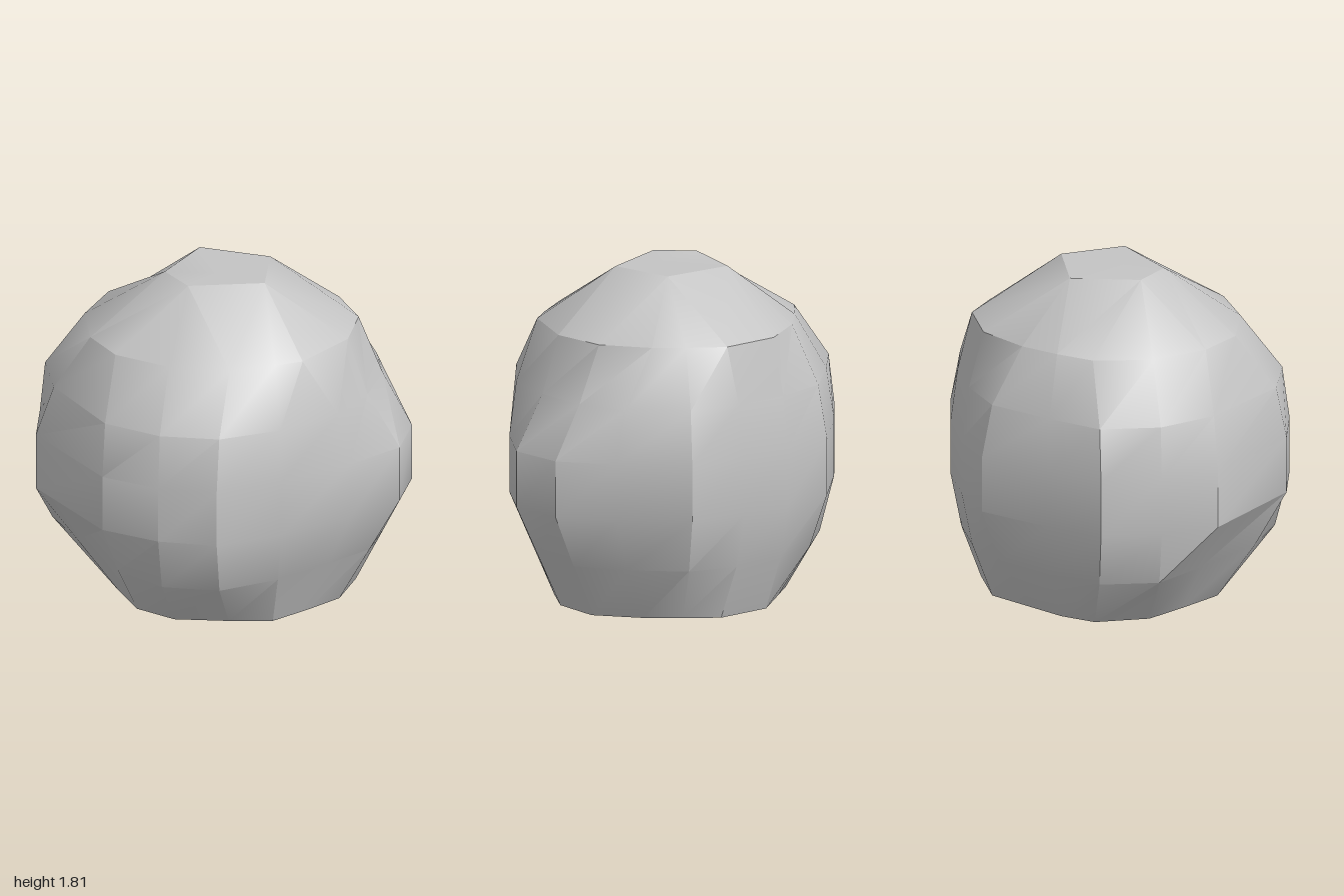
import * as THREE from 'three';
import { toCreasedNormals } from 'three/addons/utils/BufferGeometryUtils.js';

// Cross-sections as [x, z], running from the back round the left side to the front
const base = [[-.12, -.73], [.2, -.73], [.36, -.6], [.52, -.46], [.69, -.23], [.67, .05], [.54, .25], [.4, .44],
  [.17, .5], [-.12, .55], [-.35, .46], [-.51, .24], [-.65, .03], [-.65, -.27], [-.52, -.43], [-.36, -.55]];
const waist = [[-.13, -.9], [.18, -.9], [.5, -.84], [.79, -.55], [.99, -.28], [1, .03], [.8, .32], [.5, .65],
  [.2, .88], [-.12, .9], [-.45, .82], [-.94, .35], [-1, .03], [-.98, -.3], [-.76, -.55], [-.45, -.85]];
const shoulder = [[-.13, -.78], [.2, -.78], [.38, -.65], [.52, -.53], [.69, -.29], [.71, .02], [.55, .38], [.42, .47],
  [.2, .6], [-.13, .63], [-.45, .54], [-.64, .34], [-.75, .03], [-.7, -.29], [-.56, -.46], [-.4, -.62]];

// How far each column has swelled towards the waist, below and above it
const lowerSwell = [.65, .65, .65, .6, .5, .5, .5, .6, .77, .77, .55, .5, .8, .75, .7, .65];
const upperSwell = [.67, .67, .75, .75, .45, .38, .75, .85, .8, .85, .8, .67, .88, .85, .8, .75];

// Five-sided flat top; each column of the rock runs up to one of its corners
const corners = [[-.2, -.32], [.2, -.29], [.26, .07], [-.13, .21], [-.3, .05]];
const crown = [0, 1, 1, 1, 2, 2, 2, 2, 3, 3, 3, 4, 4, 4, 0, 0].map(i => corners[i]);

// In-between section, blended column by column
const blend = (from, to, swell) => from.map(([x, z], i) =>
  [x + (to[i][0] - x) * swell[i], z + (to[i][1] - z) * swell[i]]);

function loft(levels) {
  const pos = [];
  const tri = (a, b, c) => {
    // skip slivers where columns meet in one corner
    if (a.distanceTo(b) > 1e-4 && b.distanceTo(c) > 1e-4 && c.distanceTo(a) > 1e-4) {
      for (const p of [a, b, c]) pos.push(p.x, p.y, p.z);
    }
  };
  const rings = levels.map(([y, ring]) => ring.map(([x, z]) => new THREE.Vector3(x, y, z)));
  const n = rings[0].length;
  const bottom = rings[0], top = rings[rings.length - 1];
  const low = new THREE.Vector3(0, bottom[0].y, 0), high = new THREE.Vector3(0, top[0].y, 0);
  for (let j = 0; j < n; j++) {
    const k = (j + 1) % n;
    for (let i = 0; i < rings.length - 1; i++) {
      const r = rings[i], s = rings[i + 1];
      tri(r[j], s[j], r[k]);
      tri(r[k], s[j], s[k]);
    }
    tri(low, bottom[j], bottom[k]);
    tri(high, top[k], top[j]);
  }
  const geometry = new THREE.BufferGeometry();
  geometry.setAttribute('position', new THREE.Float32BufferAttribute(pos, 3));
  return toCreasedNormals(geometry, Math.PI / 6);
}

export function createModel() {
  const stone = new THREE.MeshStandardMaterial({ color: 0xc4c4c4 });
  stone.name = 'stone grey';

  const boulder = new THREE.Mesh(loft([
    [0, base],
    [.3, blend(base, waist, lowerSwell)],
    [.6, waist],
    [.91, waist],
    [1.2, blend(shoulder, waist, upperSwell)],
    [1.51, shoulder],
    [1.81, crown],
  ]), stone);
  boulder.name = 'boulder';

  const group = new THREE.Group();
  group.name = 'rock';
  group.add(boulder);
  return group;
}
